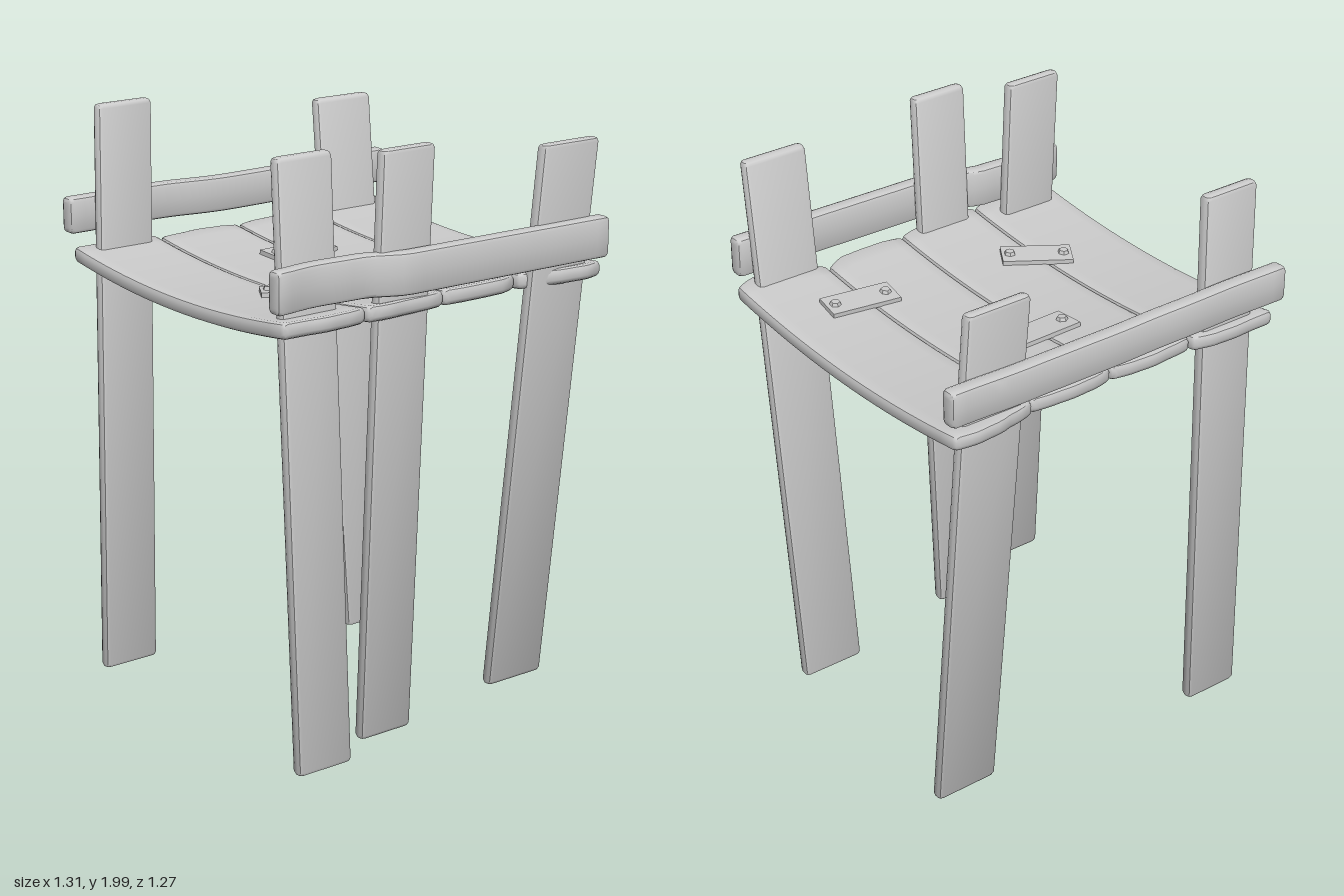
import * as THREE from 'three';
import { toCreasedNormals } from 'three/addons/utils/BufferGeometryUtils.js';

const grey = new THREE.MeshStandardMaterial({ color: 0xcccccc });

// Linear blend through evenly spaced control values, t in 0..1
function blend(values, t) {
  const f = THREE.MathUtils.clamp(t, 0, 1) * (values.length - 1);
  const i = Math.min(Math.floor(f), values.length - 2);
  return THREE.MathUtils.lerp(values[i], values[i + 1], THREE.MathUtils.smoothstep(f - i, 0, 1));
}

// Positions across a span, with rounded edges of radius r: [position, inset]
function roundedSpan(size, r, segments) {
  const h = size / 2;
  const edge = [[0, 1], [0.3, 0.3], [1, 0]];
  const list = edge.map(([d, k]) => [-h + d * r, k * r]);
  for (let i = 1; i < segments; i++) list.push([-h + r + (size - 2 * r) * i / segments, 0]);
  return list.concat(edge.slice().reverse().map(([d, k]) => [h - d * r, k * r]));
}

// Rounded board: u across, v through the thickness, s along; place(u, v, s) bends it
function board(name, w, t, len, r, segU, segS, place) {
  const across = roundedSpan(w, r, segU);
  const n = across.length;
  const ring = across.map(([u, k]) => [u, t / 2 - k]);
  for (let i = n - 1; i >= 0; i--) ring.push([ring[i][0], -ring[i][1]]);
  const stations = roundedSpan(len, r, segS);
  const pos = [], idx = [], m = ring.length;
  for (const [s, k] of stations) {
    for (const [u, v] of ring) pos.push(...place(u * (1 - 2 * k / w), v * (1 - 2 * k / t), s));
  }
  for (let j = 0; j < stations.length - 1; j++) {
    for (let i = 0; i < m; i++) {
      const a = j * m + i, b = j * m + (i + 1) % m;
      idx.push(a, a + m, b, b, a + m, b + m);
    }
  }
  const last = (stations.length - 1) * m;
  for (let i = 0; i < n - 1; i++) {
    const a = i, b = i + 1, c = m - 1 - i, d = m - 2 - i;
    idx.push(last + a, last + c, last + b, last + c, last + d, last + b);
    idx.push(a, b, c, c, b, d);
  }
  const g = new THREE.BufferGeometry();
  g.setAttribute('position', new THREE.Float32BufferAttribute(pos, 3));
  g.setIndex(idx);
  const mesh = new THREE.Mesh(toCreasedNormals(g, 0.75), grey);
  mesh.name = name;
  return mesh;
}

// Sagging middle line of the seat
const seatY = z => 1.505 - 0.045 * (1 - (z / 0.6) ** 2);

export function createModel() {
  const group = new THREE.Group();

  // Leaning posts: name, width, bottom [x, y, z], top [x, y, z]
  const posts = [
    ['frontRightPost', 0.205, [-0.488, 0.05, 0.565], [-0.488, 2, 0.464]],
    ['frontMiddlePost', 0.2, [-0.17, 0.05, 0.464], [-0.17, 2, 0.565]],
    ['frontLeftPost', 0.23, [0.455, 0.05, 0.379], [0.455, 1.945, 0.598]],
    ['backRightPost', 0.205, [-0.508, 0.05, -0.523], [-0.458, 2, -0.555]],
    ['backLeftPost', 0.23, [0.455, 0.01, -0.4], [0.455, 1.91, -0.582]],
  ];
  for (const [name, w, a, b] of posts) {
    const len = b[1] - a[1];
    group.add(board(name, w, 0.044, len, 0.014, 1, 1, (u, v, s) => {
      const t = s / len + 0.5;
      return [
        THREE.MathUtils.lerp(a[0], b[0], t) + u,
        a[1] + len * t,
        THREE.MathUtils.lerp(a[2], b[2], t) - v,
      ];
    }));
  }

  // Seat planks: x range, uneven back and front ends from -x to +x
  const planks = [
    [-0.635, -0.322, [-0.6, -0.6, -0.605, -0.6, -0.58], [0.575, 0.58, 0.592, 0.585, 0.57]],
    [-0.319, -0.006, [-0.565, -0.572, -0.58, -0.575, -0.56], [0.575, 0.585, 0.575, 0.57, 0.555]],
    [-0.003, 0.309, [-0.56, -0.575, -0.58, -0.575, -0.565], [0.55, 0.56, 0.56, 0.556, 0.525]],
    [0.312, 0.628, [-0.575, -0.595, -0.615, -0.622, -0.61], [0.54, 0.565, 0.592, 0.602, 0.58]],
  ];
  planks.forEach(([x0, x1, back, front], i) => {
    const w = x1 - x0;
    group.add(board('seatPlank' + (i + 1), w, 0.052, 1.2, 0.015, 10, 20, (u, v, s) => {
      const t = u / w + 0.5;
      const z = THREE.MathUtils.lerp(blend(back, t), blend(front, t), s / 1.2 + 0.5);
      return [x0 + w / 2 + u, seatY(z) + v, z];
    }));
  });

  // Rails: x range, middle height, depth and height changes along x
  const rails = [
    ['frontRail', -0.655, 0.615, 1.617, 0.135, [0.55, 0.532, 0.54, 0.592, 0.594, 0.596, 0.598, 0.6, 0.602], [0, 0]],
    ['backRail', -0.655, 0.655, 1.635, 0.12, [-0.603, -0.602, -0.606, -0.6, -0.602, -0.604, -0.607, -0.608], [0, 0.002, -0.006, -0.004, 0.003]],
  ];
  for (const [name, x0, x1, y, h, zs, dy] of rails) {
    const len = x1 - x0;
    group.add(board(name, h, 0.058, len, 0.014, 2, 32, (u, v, s) => {
      const t = s / len + 0.5;
      return [x0 + len * t, y + blend(dy, t) + u, blend(zs, t) + v];
    }));
  }

  // Repair plates, each held by two hexagonal nails
  const patches = [
    [-0.003, -0.208, 0.242, 0.108, 0.03],
    [-0.308, 0.2, 0.235, 0.1, -0.54],
    [0.34, 0.292, 0.242, 0.105, -0.14],
  ];
  patches.forEach(([x, z, w, d, turn], i) => {
    const patch = new THREE.Group();
    patch.name = 'repairPatch' + (i + 1);
    const plate = new THREE.Mesh(new THREE.BoxGeometry(w, 0.016, d), grey);
    plate.name = 'plate';
    patch.add(plate);
    for (const side of [-1, 1]) {
      const nail = new THREE.Mesh(
        toCreasedNormals(new THREE.CylinderGeometry(0.015, 0.02, 0.012, 6), 0.5), grey);
      nail.name = 'nail';
      nail.position.set(side * 0.09, 0.013, 0);
      patch.add(nail);
    }
    // Follow the slope of the seat, then turn on it
    patch.position.set(x, seatY(z) + 0.033, z);
    patch.rotation.set(-Math.atan(0.25 * z), turn, 0);
    group.add(patch);
  });

  return group;
}
